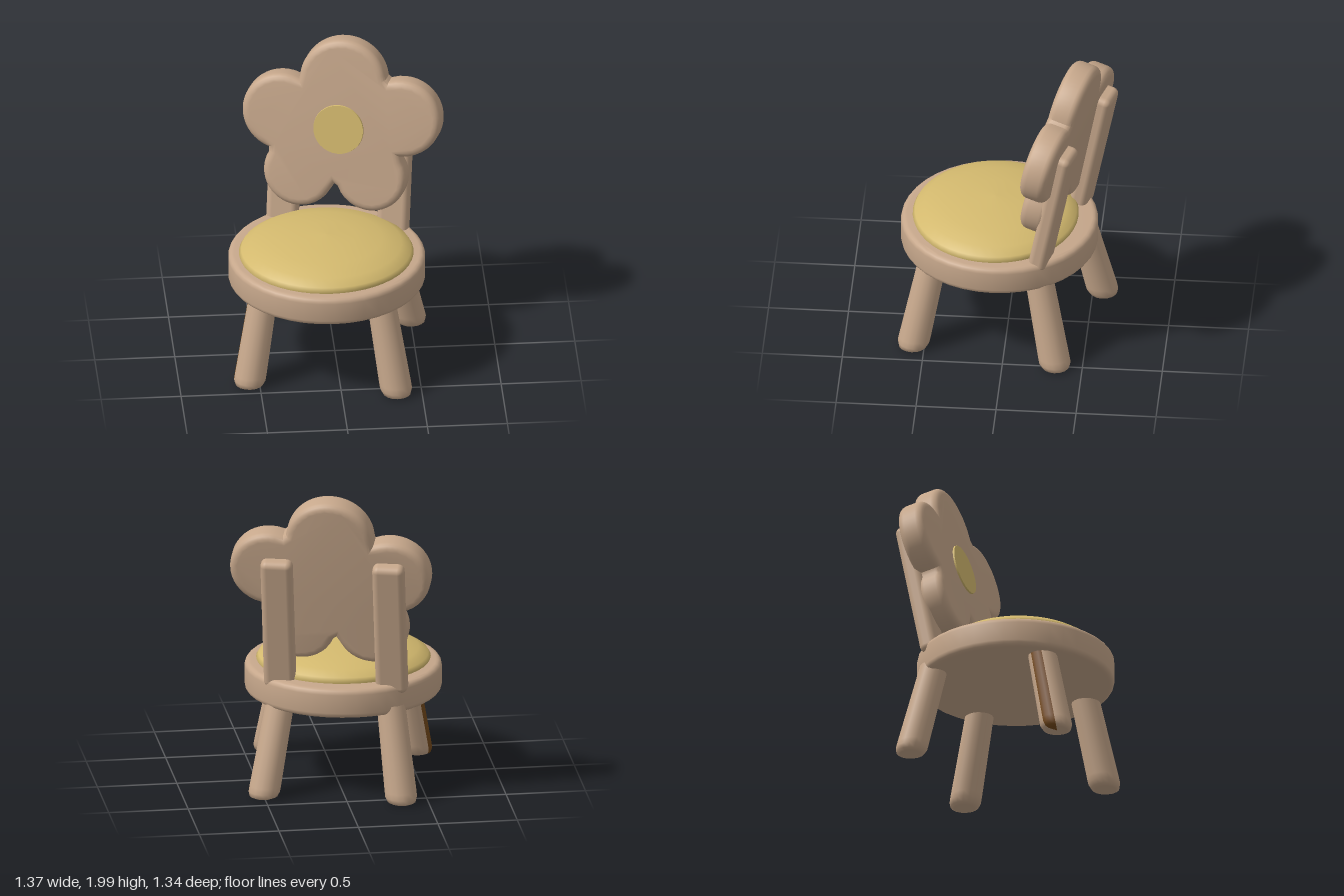
import * as THREE from 'three';
import { toCreasedNormals } from 'three/addons/utils/BufferGeometryUtils.js';
import { RoundedBoxGeometry } from 'three/addons/geometries/RoundedBoxGeometry.js';

const YAW = -0.28; // the chair is turned slightly on its base

export function createModel() {
  const chair = new THREE.Group();
  chair.name = 'flowerChair';
  const paint = (name, color) => Object.assign(new THREE.MeshStandardMaterial({ color }), { name });
  const wood = paint('tan wood', 0xc6a78b);
  const yellow = paint('soft yellow', 0xd3b96e);
  const brown = paint('dark brown', 0x754a1c);

  const add = (parent, name, geometry, material, x = 0, y = 0, z = 0) => {
    const mesh = new THREE.Mesh(geometry, material);
    mesh.name = name;
    mesh.position.set(x, y, z);
    parent.add(mesh);
    return mesh;
  };
  const points = (list) => list.map(([x, y]) => new THREE.Vector2(x, y));

  // Slab with rounded rims, from z = 0 to z = thickness
  const slab = (outline, thickness, bevel) => {
    const geometry = new THREE.ExtrudeGeometry(new THREE.Shape(outline), {
      depth: thickness - 2 * bevel, bevelThickness: bevel, bevelSize: bevel,
      bevelOffset: -bevel, bevelSegments: 4, curveSegments: 1,
    });
    geometry.translate(0, 0, bevel);
    return toCreasedNormals(geometry, 0.6);
  };
  const polar = (count, radius) => Array.from({ length: count }, (_, i) => {
    const a = (i / count) * Math.PI * 2;
    return new THREE.Vector2(Math.cos(a), Math.sin(a)).multiplyScalar(radius(a));
  });

  // Seat
  const seatGeometry = slab(polar(40, () => 0.615), 0.19, 0.035);
  seatGeometry.rotateX(-Math.PI / 2);
  add(chair, 'seat', seatGeometry, wood, -0.055, 0.565, 0.06);

  // Domed cushion
  const dome = points([[0.53, 0.73], [0.545, 0.765], [0.53, 0.79], [0.47, 0.828],
    [0.35, 0.862], [0.18, 0.885], [0, 0.892]]);
  const cushion = add(chair, 'cushion', new THREE.LatheGeometry(dome, 48), yellow, -0.06, 0, 0.085);
  cushion.scale.z = 0.95;

  // Splayed legs: foot position, then position at the underside of the seat
  const legProfile = points([[0, 0.005], [0.065, 0.005], [0.088, 0.015], [0.1, 0.045],
    [0.1, 0.08], [0.09, 0.62]]);
  const legs = [
    ['frontRightLeg', -0.567, 0.385, -0.47, 0.28],
    ['frontLeftLeg', 0.345, 0.575, 0.26, 0.46],
    ['backRightLeg', -0.335, -0.57, -0.29, -0.435],
    ['backLeftLeg', 0.505, -0.335, 0.385, -0.225],
  ];
  for (const [name, x, z, topX, topZ] of legs) {
    const splay = new THREE.Matrix4().set(
      1, (topX - x) / 0.57, 0, 0,
      0, 1, 0, 0,
      0, (topZ - z) / 0.57, 1, 0,
      0, 0, 0, 1);
    const part = (start, sweep, segments) =>
      new THREE.LatheGeometry(legProfile, segments, start, sweep).applyMatrix4(splay);
    if (name === 'frontRightLeg') {
      // One leg has a dark strip down its outer side
      add(chair, name, part(4.75, Math.PI * 2 - 0.85, 14), wood, x, 0, z);
      add(chair, 'darkLegStrip', part(3.9, 0.85, 3), brown, x, 0, z);
    } else {
      add(chair, name, part(0, Math.PI * 2, 16), wood, x, 0, z);
    }
  }

  // Back posts
  for (const [name, x, z] of [['leftBackPost', 0.405, -0.31], ['rightBackPost', -0.27, -0.51]]) {
    const post = add(chair, name, new RoundedBoxGeometry(0.2, 0.9, 0.115, 3, 0.04), wood, x, 1.14, z);
    post.rotation.set(-0.2, YAW, 0, 'YXZ');
  }

  // Flower backrest: each ray from the middle ends at the farthest petal rim
  const petals = [[0.01, 0.305, 0.275], [0.39, 0.1, 0.25], [-0.37, 0.07, 0.25],
    [-0.245, -0.31, 0.225], [0.21, -0.3, 0.225]];
  const petalRadius = (a) => Math.max(0.37, ...petals.map(([x, y, r]) => {
    const along = x * Math.cos(a) + y * Math.sin(a);
    const off = x * Math.sin(a) - y * Math.cos(a);
    return Math.abs(off) < r ? along + Math.sqrt(r * r - off * off) : 0;
  }));
  const flower = new THREE.Group();
  flower.name = 'flowerBackrest';
  flower.position.set(0.045, 1.43, -0.28);
  flower.rotation.set(-0.19, YAW, 0, 'YXZ');
  chair.add(flower);
  add(flower, 'petals', slab(polar(120, petalRadius), 0.17, 0.045), wood, 0, 0, -0.17);
  const disc = new THREE.CylinderGeometry(0.158, 0.162, 0.02, 32);
  disc.rotateX(Math.PI / 2);
  add(flower, 'flowerCentre', disc, yellow);

  return chair;
}
